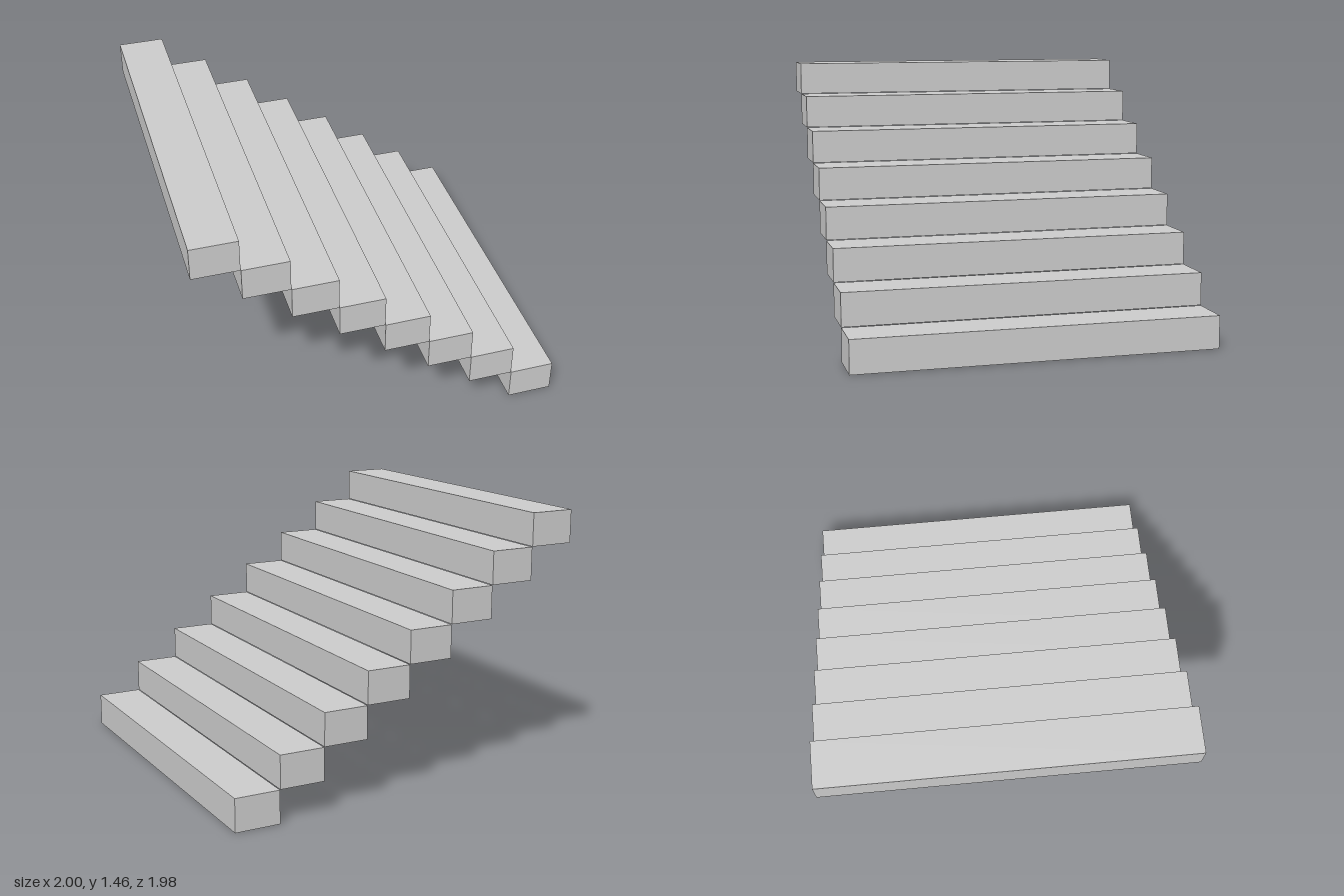
import * as THREE from 'three';

export function createModel() {
  const group = new THREE.Group();
  group.name = 'floatingStaircase';
  const material = new THREE.MeshStandardMaterial({ color: 0xcccccc });

  const count = 8;
  const run = 0.25; // horizontal pitch
  const rise = 0.1826; // vertical pitch
  const width = 0.248, height = 0.181, depth = 1.98;
  const treadGeometry = new THREE.BoxGeometry(width, height, depth);

  // Separate block treads climbing from +x to -x
  for (let i = 0; i < count; i++) {
    const tread = new THREE.Mesh(treadGeometry, material);
    tread.name = `stepTread${i + 1}`;
    tread.position.set(run * ((count - 1) / 2 - i), height / 2 + rise * i, 0);
    group.add(tread);
  }
  return group;
}
